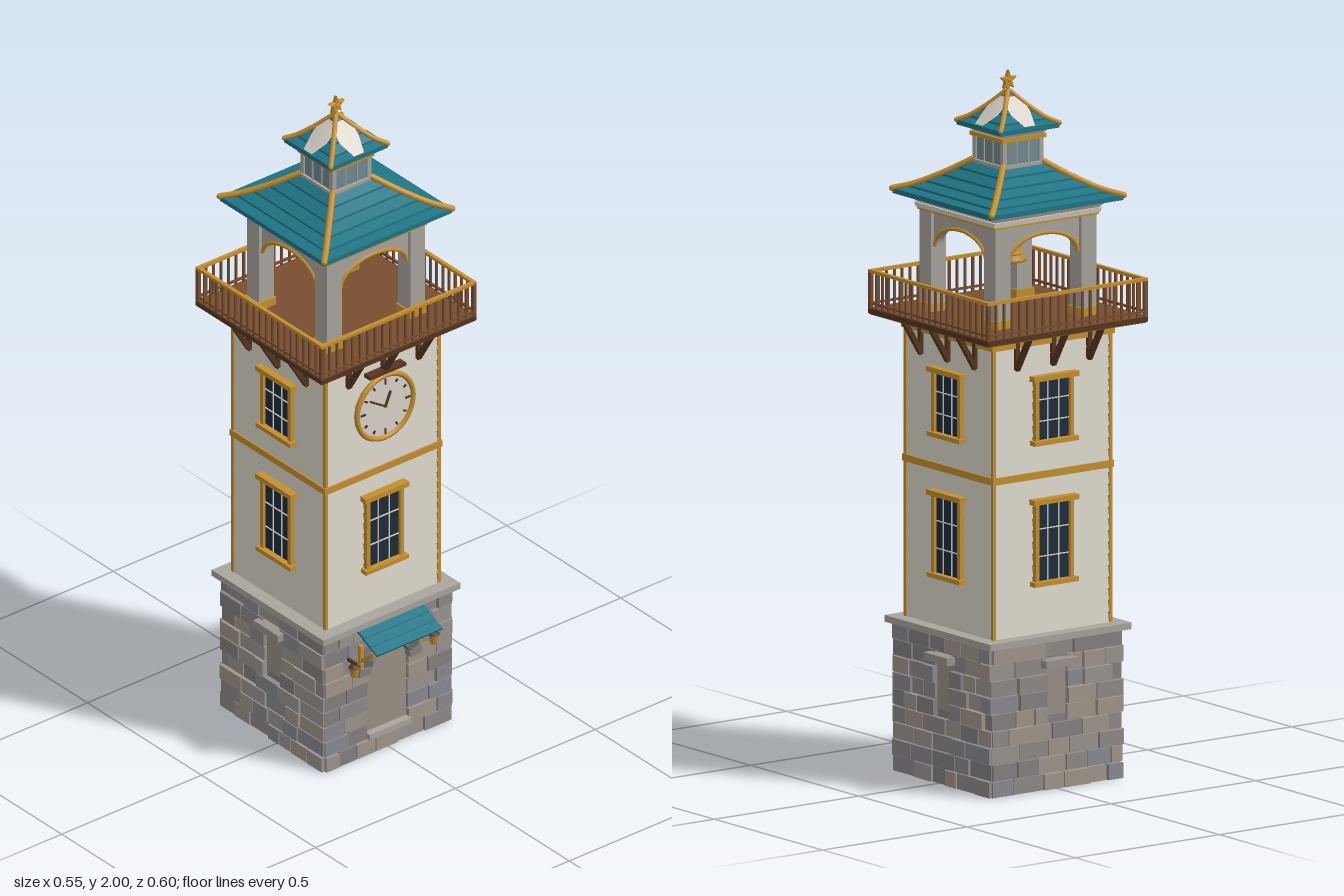
import * as THREE from 'three';

const mat = (color, o = {}) => new THREE.MeshStandardMaterial({ color, ...o });
const GOLD = mat(0xc4902f), TEAL = mat(0x1f7585, { flatShading: true }), BROWN = mat(0x784e30), DARK = mat(0x55361f);
const SIDING = mat(0xd6d2c6, { flatShading: true }), PALE = mat(0xd9d3c9, { side: THREE.DoubleSide });
const GREY = mat(0xa9a59e), DOOR = mat(0x9a9086), GLASS = mat(0x1e2c3a), LANTERN = mat(0x6f8b92), VOUSSOIR = mat(0x6b6765);
const STONES = [0x8f8a88, 0x9b9490, 0x85807f, 0xa0968a, 0x8b8a92].map((c) => mat(c));

let seed = 7;
const rnd = () => (seed = (seed * 16807) % 2147483647) / 2147483647;

function add(parent, name, geo, material, x = 0, y = 0, z = 0) {
  const m = new THREE.Mesh(geo, material);
  m.name = name;
  m.position.set(x, y, z);
  parent.add(m);
  return m;
}
const box = (p, name, m, w, h, d, x, y, z) => add(p, name, new THREE.BoxGeometry(w, h, d), m, x, y, z);

// Square lathe: profile points are [half width, y], listed upwards
const square = (p, name, m, pts) => add(p, name, new THREE.LatheGeometry(
  pts.map(([h, y]) => new THREE.Vector2(h * Math.SQRT2, y)), 4, Math.PI / 4), m);
const slab = (p, name, m, half, y0, y1) => box(p, name, m, half * 2, y1 - y0, half * 2, 0, (y0 + y1) / 2, 0);

// Four faces of the tower: 0 front, 1 left, 2 back, 3 right; each built facing +z
function eachSide(parent, name, build) {
  for (let i = 0; i < 4; i++) {
    const g = new THREE.Group();
    g.name = name;
    g.rotation.y = i * Math.PI / 2;
    parent.add(g);
    build(g, i);
  }
}

// Window with casing, sill, head and glazing bars
function windowUnit(p, y0, y1) {
  const g = new THREE.Group(), h = y1 - y0, y = (y0 + y1) / 2;
  g.name = 'window';
  p.add(g);
  box(g, 'glass', GLASS, 0.11, h, 0.01, 0, y, 0.203);
  for (const s of [-1, 1]) box(g, 'casing', GOLD, 0.013, h, 0.022, s * 0.06, y, 0.206);
  box(g, 'sill', GOLD, 0.152, 0.013, 0.034, 0, y0, 0.209);
  box(g, 'head', GOLD, 0.156, 0.015, 0.034, 0, y1 + 0.003, 0.209);
  for (const s of [-1, 1]) box(g, 'glazingBar', PALE, 0.003, h, 0.004, s * 0.019, y, 0.209);
  for (const t of [0.33, 0.67]) box(g, 'glazingBar', PALE, 0.11, 0.003, 0.004, 0, y0 + h * t, 0.209);
}

// Half width of the opening in the stonework at height y
function opening(side, y) {
  if (side === 0) return y < 0.05 ? 0 : y < 0.265 ? 0.071 : Math.sqrt(Math.max(0, 0.105 ** 2 - (y - 0.265) ** 2));
  return y > 0.21 && y < 0.36 ? 0.036 : 0;
}

// One face of irregular stone courses
function stoneFace(g, side) {
  const rows = 9, rh = 0.425 / rows;
  for (let r = 0; r < rows; r++) {
    const y = (r + 0.5) * rh, open = opening(side, y);
    const spans = open ? [[-0.226, -open], [open, 0.226]] : [[-0.226, 0.226]];
    for (const [a, b] of spans) {
      let x = a;
      while (x < b - 0.001) {
        let w = 0.05 + rnd() * 0.055;
        if (b - x - w < 0.035) w = b - x;
        const out = 0.224 + rnd() * 0.011;
        box(g, 'stone', STONES[Math.floor(rnd() * 5)], w - 0.003, rh - 0.003, out - 0.2, x + w / 2, y, (out + 0.2) / 2);
        x += w;
      }
    }
  }
}

// Concave pyramid roof with stepped courses and round hip ridges
function roof(parent, name, half0, half1, y0, rise, courses, ridge) {
  const g = new THREE.Group();
  g.name = name;
  parent.add(g);
  const at = (t) => [half0 + (half1 - half0) * t, y0 + rise * t ** 1.35];
  const pts = [[0, y0 - 0.008], [half0, y0 - 0.008]];
  for (let k = 0; k < courses; k++) {
    const [h, y] = at(k / courses);
    pts.push([h, y + 0.006], at((k + 1) / courses));
  }
  square(g, 'roofCourses', TEAL, pts);
  const line = [0, 0.25, 0.5, 0.75, 1].map((t) => {
    const [h, y] = at(t);
    return new THREE.Vector3(h, y + 0.006, h);
  });
  eachSide(g, 'hip', (s) => {
    add(s, 'hipRidge', new THREE.TubeGeometry(new THREE.CatmullRomCurve3(line), 16, ridge, 10), GOLD);
    add(s, 'hipEnd', new THREE.SphereGeometry(ridge, 10, 8), GOLD, ...line[0].toArray());
  });
  return at;
}

function buildBase(t) {
  slab(t, 'stoneCore', STONES[2], 0.215, 0, 0.43);
  eachSide(t, 'stoneWall', (g, i) => {
    stoneFace(g, i);
    if (i) {
      box(g, 'niche', DOOR, 0.07, 0.15, 0.01, 0, 0.285, 0.213);
      box(g, 'lintel', STONES[1], 0.11, 0.022, 0.04, 0, 0.36, 0.232);
    }
  });
  slab(t, 'stoneCap', GREY, 0.245, 0.423, 0.442);

  // Arched door with wedge stones
  const d = new THREE.Shape();
  d.moveTo(-0.072, 0.06).lineTo(0.072, 0.06).lineTo(0.072, 0.265).absarc(0, 0.265, 0.072, 0, Math.PI, false);
  add(t, 'door', new THREE.ExtrudeGeometry(d, { depth: 0.006, bevelEnabled: false, curveSegments: 16 }), DOOR, 0, 0, 0.212);
  box(t, 'threshold', GREY, 0.15, 0.018, 0.03, 0, 0.06, 0.225);
  const n = 11;
  for (let i = 0; i < n; i++) {
    const a = i * Math.PI / n + 0.02, b = (i + 1) * Math.PI / n - 0.02, s = new THREE.Shape();
    s.absarc(0, 0, 0.112, a, b, false).absarc(0, 0, 0.07, b, a, true);
    add(t, 'wedgeStone', new THREE.ExtrudeGeometry(s, { depth: 0.035, bevelEnabled: false, curveSegments: 2 }),
      i % 2 ? VOUSSOIR : STONES[2], 0, 0.265, 0.206);
  }

  // Awning, struts and wall lamps
  for (let i = 0; i < 3; i++) {
    const f = (i + 0.5) / 3;
    box(t, 'awningCourse', TEAL, 0.234, 0.007, 0.038, 0, 0.421 - f * 0.042, 0.234 + f * 0.086).rotation.x = 0.38;
  }
  box(t, 'awningBeam', GOLD, 0.234, 0.01, 0.01, 0, 0.372, 0.3);
  for (const s of [-1, 1]) {
    box(t, 'awningStrut', GOLD, 0.01, 0.085, 0.01, s * 0.105, 0.345, 0.27).rotation.x = 0.88;
    box(t, 'wallPlate', GOLD, 0.012, 0.07, 0.012, s * 0.105, 0.335, 0.238);
    box(t, 'lampArm', DARK, 0.008, 0.008, 0.035, s * 0.142, 0.335, 0.245);
    add(t, 'lamp', new THREE.CylinderGeometry(0.015, 0.011, 0.028, 6), GOLD, s * 0.142, 0.307, 0.255);
    add(t, 'lampCap', new THREE.ConeGeometry(0.019, 0.014, 6), DARK, s * 0.142, 0.328, 0.255);
  }
}

function buildShaft(t) {
  // Overlapping clapboards
  const n = 25, pts = [];
  for (let i = 0; i < n; i++) pts.push([0.205, 0.44 + i * 0.033], [0.2, 0.44 + (i + 1) * 0.033]);
  square(t, 'clapboards', SIDING, pts);
  slab(t, 'beltTrim', GOLD, 0.21, 0.882, 0.902);
  slab(t, 'topTrim', GOLD, 0.212, 1.262, 1.29);
  eachSide(t, 'shaftWall', (g, i) => {
    box(g, 'cornerTrim', GOLD, 0.01, 0.82, 0.01, 0.2015, 0.85, 0.2015);
    windowUnit(g, 0.585, 0.815);
    if (i) windowUnit(g, 0.985, 1.165);
    for (const x of [-0.125, 0, 0.125]) {
      box(g, 'bracket', DARK, 0.014, 0.115, 0.014, x, 1.25, 0.237).rotation.x = 0.54;
      box(g, 'bracketFoot', DARK, 0.014, 0.09, 0.01, x, 1.245, 0.209);
    }
  });

  // Clock on the front
  const c = new THREE.Group();
  c.name = 'clock';
  c.position.set(0, 1.095, 0.205);
  t.add(c);
  add(c, 'clockFace', new THREE.CylinderGeometry(0.1, 0.1, 0.016, 40), PALE, 0, 0, 0.002).rotation.x = Math.PI / 2;
  add(c, 'clockRim', new THREE.TorusGeometry(0.1, 0.008, 8, 48), GOLD, 0, 0, 0.01);
  const bar = (name, len, w, r, a) => {
    box(c, name, DARK, w, len, 0.004, -Math.sin(a) * r, Math.cos(a) * r, 0.012).rotation.z = a;
  };
  for (let i = 0; i < 12; i++) bar('hourMark', i % 3 ? 0.01 : 0.017, 0.005, 0.08, i * Math.PI / 6);
  bar('hourHand', 0.05, 0.007, 0.022, -0.4);
  bar('minuteHand', 0.07, 0.005, 0.03, 1.0);
  box(t, 'clockHood', DARK, 0.13, 0.01, 0.03, 0, 1.213, 0.214);
}

function buildGallery(t) {
  slab(t, 'deck', BROWN, 0.274, 1.294, 1.314);
  eachSide(t, 'railing', (g) => {
    box(g, 'deckEdge', DARK, 0.554, 0.014, 0.008, 0, 1.304, 0.273);
    box(g, 'topRail', GOLD, 0.554, 0.009, 0.011, 0, 1.417, 0.2715);
    box(g, 'bottomRail', BROWN, 0.54, 0.006, 0.007, 0, 1.326, 0.2715);
    box(g, 'cornerPost', BROWN, 0.011, 0.105, 0.011, 0.2715, 1.364, 0.2715);
    for (let i = 1; i < 20; i++) box(g, 'baluster', BROWN, 0.006, 0.1, 0.006, -0.2715 + i * 0.02715, 1.364, 0.2715);
  });
}

function buildBelfry(t) {
  const arch = new THREE.Shape();
  arch.moveTo(-0.125, 1.605).lineTo(-0.125, 1.5).lineTo(-0.12, 1.5)
    .absellipse(0, 1.5, 0.12, 0.068, Math.PI, 0, true).lineTo(0.125, 1.5).lineTo(0.125, 1.605);
  const rim = Array.from({ length: 17 }, (_, i) => new THREE.Vector3(
    0.118 * Math.cos(i * Math.PI / 16), 1.5 + 0.066 * Math.sin(i * Math.PI / 16), 0.165));
  eachSide(t, 'belfrySide', (g) => {
    box(g, 'post', GREY, 0.053, 0.29, 0.053, 0.149, 1.46, 0.149);
    box(g, 'postFoot', GOLD, 0.062, 0.024, 0.062, 0.149, 1.326, 0.149);
    add(g, 'archPanel', new THREE.ExtrudeGeometry(arch, { depth: 0.03, bevelEnabled: false, curveSegments: 20 }), GREY, 0, 0, 0.135);
    add(g, 'archTrim', new THREE.TubeGeometry(new THREE.CatmullRomCurve3(rim), 32, 0.006, 6), GOLD);
  });
  slab(t, 'beltCourse', GOLD, 0.18, 1.598, 1.606);
  square(t, 'cornice', SIDING, [[0, 1.604], [0.183, 1.604], [0.186, 1.618], [0.18, 1.618], [0.2, 1.64], [0, 1.64]]);

  // Bell, yoke, clapper and rope
  const profile = [[0.046, 1.462], [0.052, 1.46], [0.05, 1.468], [0.04, 1.482], [0.033, 1.505], [0.029, 1.53], [0.022, 1.546], [0, 1.552]];
  add(t, 'bell', new THREE.LatheGeometry(profile.map((q) => new THREE.Vector2(...q)), 32),
    mat(0xb98a35, { side: THREE.DoubleSide }));
  add(t, 'bellBand', new THREE.TorusGeometry(0.041, 0.003, 6, 32), GOLD, 0, 1.482, 0).rotation.x = Math.PI / 2;
  box(t, 'yoke', DARK, 0.27, 0.014, 0.018, 0, 1.566, 0);
  add(t, 'hanger', new THREE.CylinderGeometry(0.008, 0.008, 0.02, 8), GOLD, 0, 1.555, 0);
  add(t, 'clapperRod', new THREE.CylinderGeometry(0.003, 0.003, 0.09, 6), DARK, 0, 1.495, 0);
  add(t, 'clapper', new THREE.SphereGeometry(0.009, 10, 8), DARK, 0, 1.45, 0);
  const rope = [[0.045, 1.565, 0], [0.047, 1.45, -0.015], [0.05, 1.32, -0.04]].map((q) => new THREE.Vector3(...q));
  add(t, 'rope', new THREE.TubeGeometry(new THREE.CatmullRomCurve3(rope), 10, 0.0025, 5), DARK);
}

function buildTop(t) {
  roof(t, 'mainRoof', 0.229, 0.068, 1.648, 0.092, 5, 0.009);
  slab(t, 'cupola', LANTERN, 0.066, 1.725, 1.815);
  eachSide(t, 'cupolaSide', (g) => {
    box(g, 'cupolaCorner', GREY, 0.014, 0.085, 0.014, 0.063, 1.773, 0.063);
    for (const x of [-0.02, 0.02]) box(g, 'cupolaBar', GREY, 0.004, 0.07, 0.004, x, 1.778, 0.067);
  });
  slab(t, 'cupolaSill', GREY, 0.074, 1.735, 1.746);
  slab(t, 'cupolaCornice', GOLD, 0.076, 1.812, 1.824);
  square(t, 'cupolaNeck', SIDING, [[0.066, 1.822], [0.088, 1.842]]);
  const at = roof(t, 'upperRoof', 0.102, 0.003, 1.848, 0.088, 4, 0.007);

  // Pale panel on each slope of the upper roof
  const shape = new THREE.Shape([[-0.018, 0.101], [0.018, 0.101], [0.034, 0.06], [0.034, 0.04], [0.012, 0.018],
    [-0.012, 0.018], [-0.034, 0.04], [-0.034, 0.06]].map((q) => new THREE.Vector2(...q)));
  const panel = new THREE.ShapeGeometry(shape), pos = panel.attributes.position;
  for (let i = 0; i < pos.count; i++) {
    const r = pos.getY(i), y = at((0.102 - r) / 0.099)[1] + 0.0085;
    pos.setXYZ(i, pos.getX(i), y, r);
  }
  panel.computeVertexNormals();
  eachSide(t, 'upperRoofSide', (g) => add(g, 'palePanel', panel, PALE));

  // Star finial
  add(t, 'finialStem', new THREE.CylinderGeometry(0.004, 0.009, 0.03, 10), GOLD, 0, 1.945, 0);
  const star = new THREE.Shape(Array.from({ length: 10 }, (_, i) => {
    const r = i % 2 ? 0.011 : 0.026, a = Math.PI / 2 + i * Math.PI / 5;
    return new THREE.Vector2(r * Math.cos(a), r * Math.sin(a));
  }));
  add(t, 'star', new THREE.ExtrudeGeometry(star, { depth: 0.006, bevelThickness: 0.004, bevelSize: 0.002, bevelSegments: 1 }), GOLD, 0, 1.971, -0.003);
  add(t, 'starCore', new THREE.OctahedronGeometry(0.014), GOLD, 0, 1.971, 0);
}

export function createModel() {
  const model = new THREE.Group();
  model.name = 'bellTower';
  const tower = new THREE.Group();
  tower.name = 'tower';
  tower.position.z = -0.023;
  model.add(tower);
  for (const build of [buildBase, buildShaft, buildGallery, buildBelfry, buildTop]) build(tower);
  return model;
}
